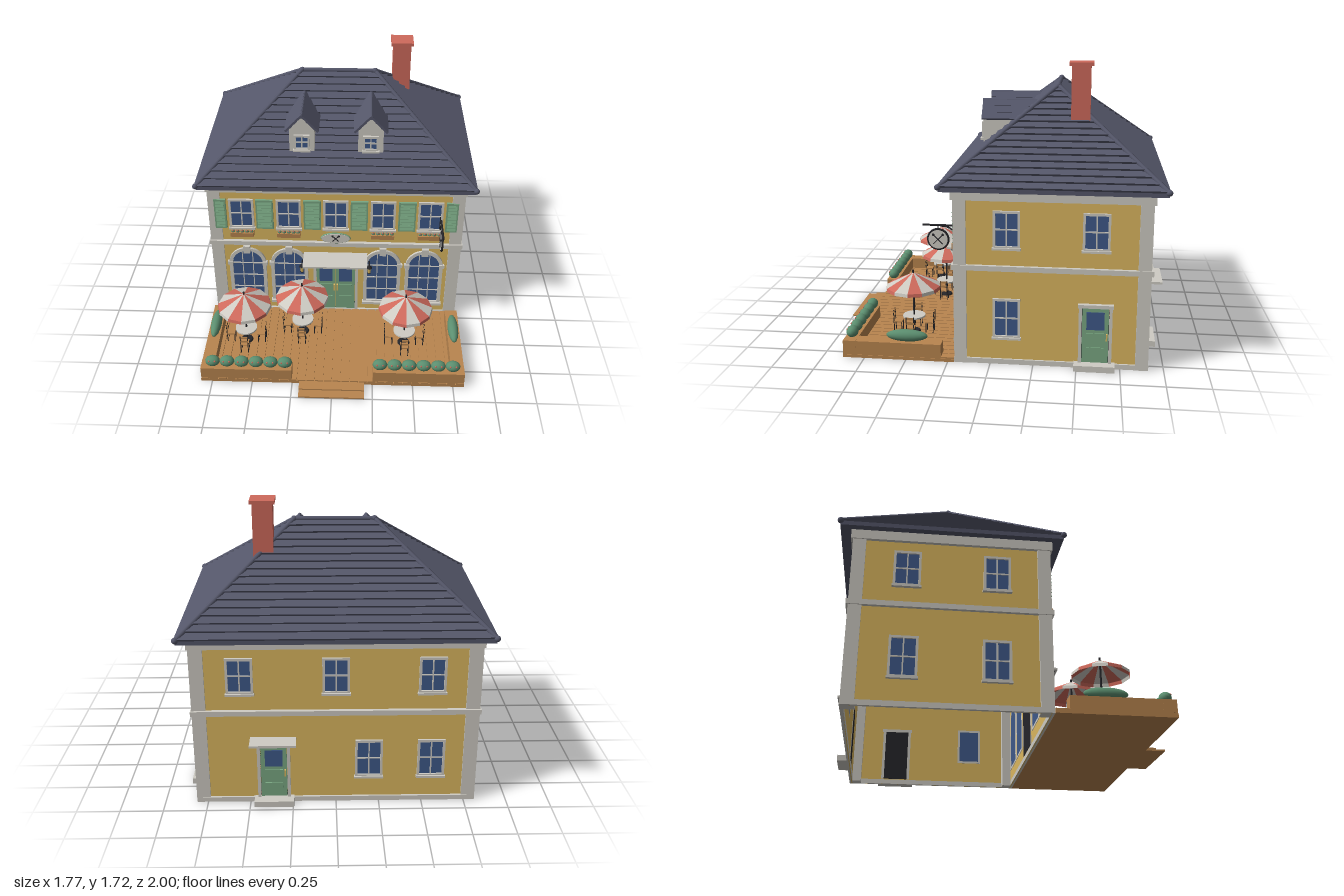
import * as THREE from 'three';

const mat = (name, color, double) => {
  const m = new THREE.MeshStandardMaterial({ color });
  m.name = name;
  if (double) m.side = THREE.DoubleSide;
  return m;
};
const M = {
  wall: mat('yellow plaster', 0xdcb860), stone: mat('pale stone', 0xcfccc4, true), roof: mat('slate', 0x55576a),
  glass: mat('window blue', 0x3f5a8a), green: mat('painted green', 0x7aa883), wood: mat('warm wood', 0xb9854f),
  red: mat('brick red', 0xcf6a5c, true), iron: mat('black iron', 0x26262a), leaf: mat('foliage', 0x5c8f70),
};

function mesh(parent, name, geo, m, x = 0, y = 0, z = 0) {
  const o = new THREE.Mesh(geo, m);
  o.name = name;
  o.position.set(x, y, z);
  parent.add(o);
  return o;
}
function group(parent, name, x = 0, y = 0, z = 0, ry = 0) {
  const g = new THREE.Group();
  g.name = name;
  g.position.set(x, y, z);
  g.rotation.y = ry;
  parent.add(g);
  return g;
}
// box given by its lower and upper limits on each axis
const box = (p, name, m, x0, x1, y0, y1, z0, z1) =>
  mesh(p, name, new THREE.BoxGeometry(x1 - x0, y1 - y0, z1 - z0), m, (x0 + x1) / 2, (y0 + y1) / 2, (z0 + z1) / 2);
const ball = (p, name, m, x, y, z, rx, ry = rx, rz = rx, seg = 12) => {
  const o = mesh(p, name, new THREE.SphereGeometry(1, seg, Math.ceil(seg * 0.7)), m, x, y, z);
  o.scale.set(rx, ry, rz);
  return o;
};
function rod(p, name, m, a, b, r, seg = 8) {
  const A = new THREE.Vector3(...a), B = new THREE.Vector3(...b), d = B.clone().sub(A);
  const o = mesh(p, name, new THREE.CylinderGeometry(r, r, d.length(), seg), m);
  o.position.copy(A).add(B).multiplyScalar(0.5);
  o.quaternion.setFromUnitVectors(new THREE.Vector3(0, 1, 0), d.normalize());
  return o;
}
const extrude = (shape, depth) => new THREE.ExtrudeGeometry(shape, { depth, bevelEnabled: false, curveSegments: 12 });

// rectangular ring of four bars around the house
const X = 0.8, ZF = 0.2, ZB = -0.9, ZC = -0.35;
function ring(p, name, m, y0, y1, out, inn) {
  for (const s of [-1, 1]) {
    box(p, name, m, Math.min(s * (X + out), s * (X - inn)), Math.max(s * (X + out), s * (X - inn)), y0, y1, ZB - out, ZF + out);
    const zo = ZC + s * (0.55 + out), zi = ZC + s * (0.55 - inn);
    box(p, name, m, -X + inn, X - inn, y0, y1, Math.min(zo, zi), Math.max(zo, zi));
  }
}

// sash window with stone frame, facing +z
function sash(p, w, h, x, y, z, ry) {
  const g = group(p, 'window', x, y, z, ry), a = w / 2, b = h / 2, t = 0.014;
  box(g, 'pane', M.glass, -a, a, -b, b, -0.0075, 0.0015);
  for (const s of [-1, 1]) {
    box(g, 'frameSide', M.stone, s * a - t / 2, s * a + t / 2, -b, b, -0.008, 0.012);
    box(g, 'frameRail', M.stone, -a - t / 2, a + t / 2, s * b - t / 2, s * b + t / 2, -0.008, 0.012);
  }
  box(g, 'mullion', M.stone, -0.004, 0.004, -b, b, 0, 0.007);
  box(g, 'bar', M.stone, -a, a, -0.003, 0.005, 0, 0.007);
  box(g, 'sill', M.stone, -a - 0.012, a + 0.012, -b - 0.015, -b - 0.002, 0, 0.022);
}
// arched ground-floor window
function archPath(path, r, y0, spring) {
  path.moveTo(-r, y0);
  path.lineTo(r, y0);
  path.lineTo(r, spring);
  path.absarc(0, spring, r, 0, Math.PI, false);
  path.closePath();
  return path;
}
function archWindow(p, x) {
  const g = group(p, 'archedWindow', x, 0, ZF), spring = 0.415;
  mesh(g, 'archPane', extrude(archPath(new THREE.Shape(), 0.1, 0.11, spring), 0.009), M.glass, 0, 0, -0.0075);
  const frame = archPath(new THREE.Shape(), 0.123, 0.1, spring);
  frame.holes.push(archPath(new THREE.Path(), 0.1, 0.115, spring));
  mesh(g, 'archFrame', extrude(frame, 0.024), M.stone, 0, 0, -0.009);
  for (const u of [-0.034, 0.034]) box(g, 'mullion', M.stone, u - 0.003, u + 0.003, 0.11, 0.505, 0, 0.007);
  for (const y of [0.21, 0.31, 0.41]) box(g, 'bar', M.stone, -0.1, 0.1, y - 0.003, y + 0.003, 0, 0.007);
  for (const s of [-1, 1]) box(g, 'impost', M.stone, s * 0.115 - 0.017, s * 0.115 + 0.017, 0.405, 0.43, 0, 0.024);
  box(g, 'keystone', M.stone, -0.022, 0.022, 0.505, 0.56, 0, 0.028);
  box(g, 'sill', M.stone, -0.13, 0.13, 0.09, 0.108, 0, 0.03);
}
// door with glazed upper panel, one or two leaves
function door(p, leaves, lw, h, x, z, ry) {
  const g = group(p, 'door', x, 0.035, z, ry), a = (leaves * lw) / 2;
  box(g, 'doorBack', M.iron, -a, a, 0, h, -0.009, 0);
  for (let i = 0; i < leaves; i++) {
    const c = -a + lw * (i + 0.5), q = lw * 0.33;
    box(g, 'leaf', M.green, c - lw / 2 + 0.002, c + lw / 2 - 0.002, 0, h, 0, 0.01);
    box(g, 'doorGlass', M.glass, c - q, c + q, h * 0.6, h * 0.92, 0.01, 0.013);
    for (const [y0, y1] of [[0.06, 0.28], [0.32, 0.54]]) box(g, 'panel', M.green, c - q, c + q, h * y0, h * y1, 0.01, 0.016);
    const k = leaves > 1 ? (i ? -1 : 1) : 1;
    box(g, 'handle', M.wall, c + k * lw * 0.42 - 0.004, c + k * lw * 0.42 + 0.004, h * 0.42, h * 0.54, 0.01, 0.025);
  }
  for (const s of [-1, 1]) box(g, 'jamb', M.stone, s * (a + 0.009) - 0.009, s * (a + 0.009) + 0.009, 0, h, -0.008, 0.02);
  box(g, 'lintel', M.stone, -a - 0.024, a + 0.024, h, h + 0.02, -0.008, 0.026);
}

function hipRoof(p) {
  // overlapping courses built from rectangular cross-sections
  const N = 16, pos = [];
  const rect = (t, lift) => {
    const hx = 0.865 - 0.635 * t + lift * 0.6, hz = 0.632 * (1 - t) + lift * 0.6, y = 1.06 + 0.5 * t + lift;
    return [[hx, y, ZC + hz], [hx, y, ZC - hz], [-hx, y, ZC - hz], [-hx, y, ZC + hz]];
  };
  const band = (A, B) => {
    for (let k = 0; k < 4; k++) {
      const n = (k + 1) % 4;
      pos.push(...A[k], ...A[n], ...B[n], ...A[k], ...B[n], ...B[k]);
    }
  };
  for (let i = 0; i < N; i++) {
    band(rect(i / N, 0), rect(i / N, 0.011));
    band(rect(i / N, 0.011), rect((i + 1) / N, 0));
  }
  const geo = new THREE.BufferGeometry();
  geo.setAttribute('position', new THREE.Float32BufferAttribute(pos, 3));
  geo.computeVertexNormals();
  mesh(p, 'slateCourses', geo, M.roof);
  box(p, 'eaves', M.roof, -0.865, 0.865, 1.035, 1.06, ZC - 0.632, ZC + 0.632);
  for (const s of [-1, 1]) {
    for (const t of [-1, 1]) {
      rod(p, 'hipCap', M.roof, [s * 0.865, 1.062, ZC + t * 0.632], [s * 0.235, 1.562, ZC], 0.014);
      ball(p, 'hipEnd', M.roof, s * 0.865, 1.062, ZC + t * 0.632, 0.018);
    }
    ball(p, 'ridgeEnd', M.roof, s * 0.235, 1.562, ZC, 0.018);
  }
  rod(p, 'ridgeCap', M.roof, [-0.235, 1.562, ZC], [0.235, 1.562, ZC], 0.014);
}
function dormer(p, x) {
  const g = group(p, 'dormer', x);
  const s = new THREE.Shape([[-0.078, 1.22], [0.078, 1.22], [0.078, 1.375], [0, 1.455], [-0.078, 1.375]].map(v => new THREE.Vector2(...v)));
  mesh(g, 'dormerWall', extrude(s, 0.3), M.stone, 0, 0, -0.2);
  sash(g, 0.085, 0.09, 0, 1.285, 0.102, 0);
  for (const k of [-1, 1]) for (let i = 0; i < 3; i++) {
    const slab = mesh(g, 'dormerSlates', new THREE.BoxGeometry(0.055, 0.014, 0.34), M.roof,
      k * (0.018 + i * 0.032), 1.451 - i * 0.035, -0.06);
    slab.rotation.z = -k * 0.78;
  }
  rod(g, 'dormerRidge', M.roof, [0, 1.464, 0.112], [0, 1.464, -0.23], 0.012);
}

function parasolTable(p, x, z) {
  const g = group(p, 'parasolTable', x, 0.028, z), n = 12;
  rod(g, 'pole', M.iron, [0, 0, 0], [0, 0.405, 0], 0.006);
  const prof = [[0.172, 0.285], [0.168, 0.305], [0.001, 0.388]].map(v => new THREE.Vector2(...v));
  for (let i = 0; i < n; i++) {
    const geo = new THREE.LatheGeometry(prof, 1, (i / n) * Math.PI * 2, (Math.PI * 2) / n).toNonIndexed();
    geo.computeVertexNormals();
    mesh(g, 'parasolPanel', geo, i % 2 ? M.red : M.stone);
  }
  mesh(g, 'tableTop', new THREE.CylinderGeometry(0.07, 0.07, 0.01, 20), M.stone, 0, 0.105, 0);
  mesh(g, 'tableFoot', new THREE.CylinderGeometry(0.035, 0.04, 0.01, 16), M.iron, 0, 0.005, 0);
  for (let i = 0; i < 4; i++) {
    const c = group(group(g, 'chairPlace', 0, 0, 0, i * Math.PI / 2), 'chair', 0, 0, 0.1);
    box(c, 'seat', M.wood, -0.026, 0.026, 0.062, 0.069, -0.026, 0.026);
    for (const s of [-1, 1]) {
      rod(c, 'frontLeg', M.iron, [s * 0.023, 0, -0.023], [s * 0.023, 0.062, -0.023], 0.003, 6);
      rod(c, 'backLeg', M.iron, [s * 0.023, 0, 0.023], [s * 0.023, 0.14, 0.028], 0.003, 6);
    }
    for (const y of [0.1, 0.13]) box(c, 'backRail', M.wood, -0.026, 0.026, y - 0.007, y + 0.007, 0.024, 0.029);
  }
}
function cutlery(g, s, z) {
  for (const k of [-1, 1]) {
    rod(g, 'utensil', M.iron, [-k * s, -s, z], [k * s, s, z], 0.003, 6);
    ball(g, 'utensilHead', M.iron, k * s, s, z, 0.008, 0.008, 0.003, 8);
  }
}
function flowers(p, x, y, z, n, step) {
  for (let i = 0; i < n; i++) {
    const u = x + (i - (n - 1) / 2) * step;
    ball(p, 'leaves', M.leaf, u, y, z, 0.013, 0.01, 0.011, 8);
    ball(p, 'blossom', M.red, u, y + 0.009, z + 0.006, 0.006, 0.006, 0.006, 6);
  }
}

export function createModel() {
  const root = new THREE.Group();
  root.name = 'cafeHouse';
  // shell and stone trim
  const house = group(root, 'house');
  ring(house, 'wall', M.wall, 0, 1.035, 0, 0.006);
  ring(house, 'plinth', M.stone, 0, 0.03, 0.012, 0.008);
  ring(house, 'floorBand', M.stone, 0.57, 0.6, 0.022, 0.008);
  ring(house, 'cornice', M.stone, 0.98, 1.036, 0.022, 0.02);
  for (const sx of [-1, 1]) for (const z of [ZF - 0.027, ZB + 0.027])
    box(house, 'cornerPier', M.stone, sx * 0.775 - 0.04, sx * 0.775 + 0.04, 0, 1, z - 0.037, z + 0.037);
  hipRoof(group(root, 'roof'));
  for (const x of [-0.213, 0.213]) dormer(root, x);
  box(root, 'chimney', M.red, 0.35, 0.465, 1.25, 1.7, -0.547, -0.435);
  box(root, 'chimneyCap', M.red, 0.336, 0.479, 1.7, 1.72, -0.562, -0.42);

  // front openings
  for (let i = -2; i <= 2; i++) {
    sash(house, 0.145, 0.205, i * 0.302, 0.812, ZF, 0);
    if (!i) continue;
    box(house, 'flowerBox', M.wood, i * 0.302 - 0.075, i * 0.302 + 0.075, 0.65, 0.68, ZF, ZF + 0.042);
    flowers(house, i * 0.302, 0.684, ZF + 0.025, 5, 0.03);
  }
  for (const [x, w] of [[0.15, 0.11], [0.455, 0.11], [0.738, 0.075]]) for (const s of [-1, 1]) {
    box(house, 'shutter', M.green, s * x - w / 2, s * x + w / 2, 0.7, 0.92, ZF, ZF + 0.016);
    for (let k = 0; k < 9; k++) {
      const slat = box(house, 'shutterSlat', M.green, s * x - w / 2 + 0.01, s * x + w / 2 - 0.01, 0.713 + k * 0.022, 0.729 + k * 0.022, ZF + 0.014, ZF + 0.02);
      slat.rotation.x = -0.35;
    }
  }
  for (const x of [0.308, 0.585]) for (const s of [-1, 1]) archWindow(house, s * x);
  door(house, 2, 0.13, 0.395, 0, ZF, 0);
  box(house, 'frontCanopy', M.stone, -0.21, 0.207, 0.494, 0.507, ZF, 0.357);
  for (const s of [-1, 1]) {
    box(house, 'canopyBracket', M.iron, s * 0.185 - 0.005, s * 0.185 + 0.005, 0.4, 0.494, ZF, ZF + 0.01);
    rod(house, 'canopyStrut', M.iron, [s * 0.185, 0.41, ZF], [s * 0.185, 0.493, 0.34], 0.005);
    // wall lantern
    const l = group(house, 'lantern', s * 0.222, 0.4, ZF + 0.045);
    rod(l, 'lanternArm', M.iron, [0, 0.04, -0.045], [0, 0.04, 0], 0.004);
    mesh(l, 'lanternGlow', new THREE.CylinderGeometry(0.014, 0.01, 0.042, 6), M.wall);
    mesh(l, 'lanternCap', new THREE.ConeGeometry(0.021, 0.022, 6), M.iron, 0, 0.031, 0);
    mesh(l, 'lanternBase', new THREE.CylinderGeometry(0.012, 0.008, 0.008, 6), M.iron, 0, -0.024, 0);
  }

  // side and back openings
  const R = Math.PI / 2;
  for (const z of [-0.095, -0.6]) {
    sash(house, 0.14, 0.205, X, 0.812, z, R);
    sash(house, 0.14, 0.205, -X, 0.812, z, -R);
    sash(house, 0.145, 0.225, -X, 0.282, z, -R);
  }
  sash(house, 0.145, 0.225, X, 0.282, -0.095, R);
  door(house, 1, 0.155, 0.335, X, -0.605, R);
  box(house, 'sideStep', M.stone, X, 0.867, 0, 0.036, -0.72, -0.485);
  for (const x of [-0.54, 0, 0.54]) sash(house, 0.14, 0.205, x, 0.812, ZB, Math.PI);
  for (const x of [-0.55, -0.19]) sash(house, 0.145, 0.225, x, 0.282, ZB, Math.PI);
  door(house, 1, 0.155, 0.335, 0.36, ZB, Math.PI);
  box(house, 'backStep', M.stone, 0.245, 0.475, 0, 0.036, -0.972, ZB);
  box(house, 'backCanopy', M.stone, 0.228, 0.492, 0.41, 0.424, -1, ZB);

  // oval plaque and hanging sign
  const plaque = group(root, 'ovalPlaque', 0, 0.648, ZF + 0.03);
  const face = mesh(plaque, 'plaqueFace', new THREE.CylinderGeometry(1, 1, 0.016, 28), M.stone);
  face.rotation.x = R;
  face.scale.set(0.092, 1, 0.036);
  mesh(plaque, 'plaqueRim', new THREE.TorusGeometry(0.092, 0.006, 6, 28), M.green).scale.set(1, 0.41, 1);
  cutlery(plaque, 0.02, 0.01);
  const sign = group(root, 'hangingSign', 0.672, 0.705, 0.32, R);
  mesh(sign, 'signDisc', new THREE.CylinderGeometry(0.06, 0.06, 0.012, 24), M.stone).rotation.x = R;
  mesh(sign, 'signRim', new THREE.TorusGeometry(0.06, 0.007, 6, 28), M.iron);
  for (const z of [-0.008, 0.008]) cutlery(sign, 0.028, z);
  rod(sign, 'signArm', M.iron, [0.12, 0.085, 0], [-0.09, 0.085, 0], 0.006);
  rod(sign, 'signHanger', M.iron, [0, 0.06, 0], [0, 0.085, 0], 0.004);
  const curve = new THREE.QuadraticBezierCurve3(new THREE.Vector3(0.115, 0, 0), new THREE.Vector3(0.1, 0.08, 0), new THREE.Vector3(0.01, 0.083, 0));
  mesh(sign, 'signBrace', new THREE.TubeGeometry(curve, 12, 0.005, 6), M.iron);
  box(sign, 'signPlate', M.iron, 0.11, 0.12, -0.06, 0.11, -0.008, 0.008);

  // terrace
  const deck = group(root, 'terrace');
  box(deck, 'deckBase', M.wood, -0.82, 0.82, 0, 0.018, 0.212, 0.88);
  for (let i = 0; i < 30; i++) {
    const x = -0.82 + i * (1.64 / 30);
    box(deck, 'plank', M.wood, x + 0.003, x + 1.64 / 30 - 0.003, 0.018, 0.028, 0.213, 0.88);
  }
  box(deck, 'upperStep', M.wood, -0.205, 0.2, 0, 0.019, 0.88, 0.945);
  box(deck, 'lowerStep', M.wood, -0.205, 0.2, 0, 0.01, 0.88, 1);
  for (const s of [-1, 1]) {
    const pl = group(deck, 'planters');
    box(pl, 'frontPlanter', M.wood, s * 0.535 - 0.283, s * 0.535 + 0.283, 0.028, 0.104, 0.8, 0.878);
    box(pl, 'sidePlanter', M.wood, s * 0.777 - 0.04, s * 0.777 + 0.04, 0.028, 0.103, 0.29, 0.8);
    for (let i = 0; i < 6; i++) {
      const x = s * 0.52 + (i - 2.5) * 0.09;
      ball(pl, 'bush', M.leaf, x, 0.135, 0.838, 0.046, 0.034, 0.036);
      for (const k of [-1, 1]) ball(pl, 'blossom', M.red, x + k * 0.018, 0.152, 0.838 + 0.026, 0.006, 0.006, 0.006, 6);
    }
    ball(pl, 'sideBush', M.leaf, s * 0.772, 0.135, 0.5, 0.034, 0.036, 0.125, 16);
  }
  for (const [x, z] of [[-0.572, 0.53], [-0.21, 0.437], [0.455, 0.525]]) parasolTable(deck, x, z);
  return root;
}
